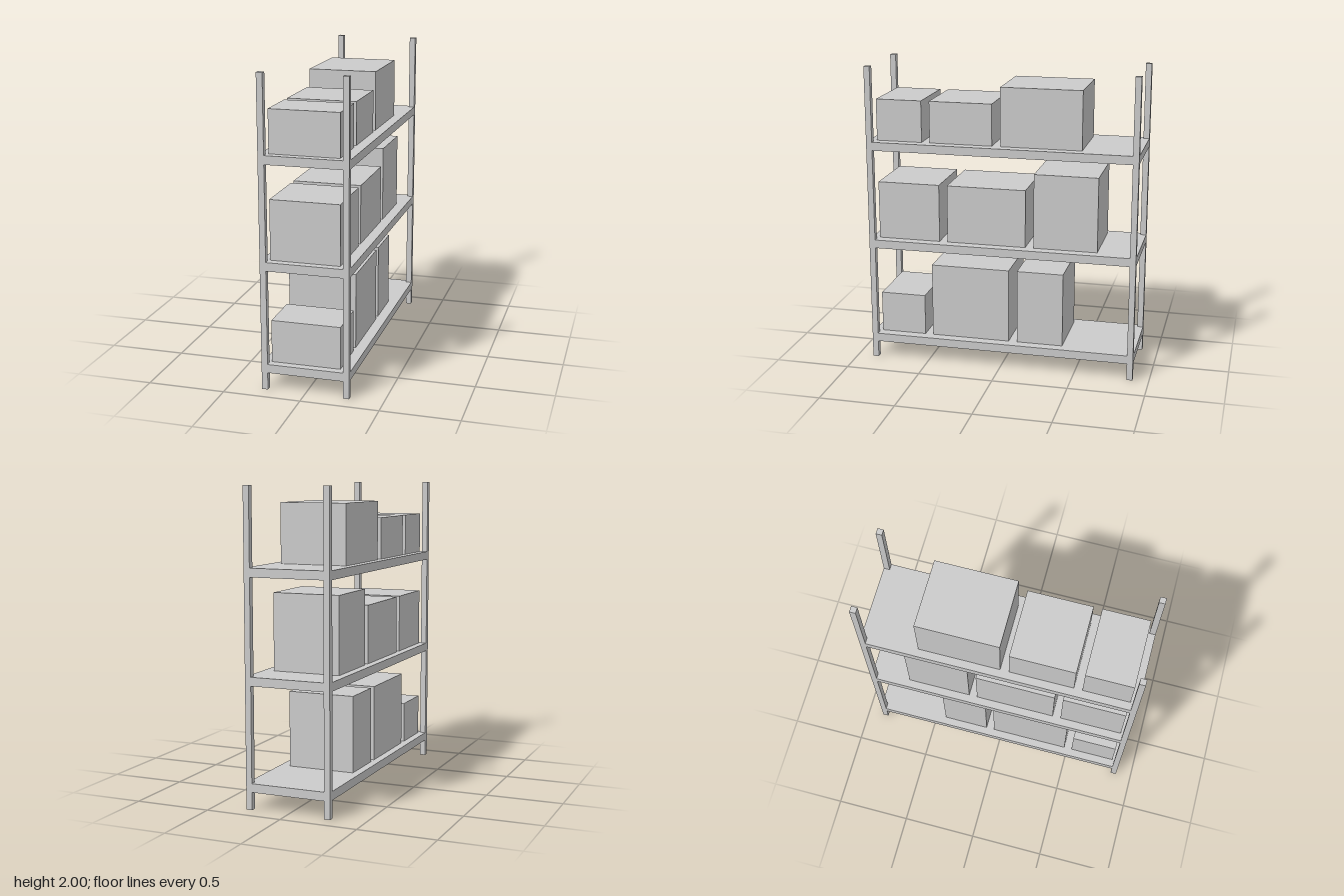
import * as THREE from 'three';

const HALF_W = 0.283, HALF_D = 0.893, POST = 0.039, RAIL = 0.056, SHEET = 0.006;

export function createModel() {
  const model = new THREE.Group();
  const material = new THREE.MeshStandardMaterial({ color: 0xcccccc });

  // Box given by its lower and upper limits on each axis
  const addBox = (parent, name, [x0, x1], [y0, y1], [z0, z1]) => {
    const mesh = new THREE.Mesh(new THREE.BoxGeometry(x1 - x0, y1 - y0, z1 - z0), material);
    mesh.position.set((x0 + x1) / 2, (y0 + y1) / 2, (z0 + z1) / 2);
    mesh.name = name;
    parent.add(mesh);
  };

  // Corner posts
  const posts = new THREE.Group();
  posts.name = 'posts';
  for (const sx of [-1, 1]) {
    for (const sz of [-1, 1]) {
      const x = sx * (HALF_W - POST / 2), z = sz * (HALF_D - POST / 2);
      const name = (sz > 0 ? 'front' : 'back') + (sx > 0 ? 'Left' : 'Right') + 'Post';
      addBox(posts, name, [x - POST / 2, x + POST / 2], [0, 2], [z - POST / 2, z + POST / 2]);
    }
  }
  model.add(posts);

  // Shelf folded from sheet: a thin panel with a rail down each edge, open below
  const addShelf = (parent, name, top) => {
    const shelf = new THREE.Group();
    shelf.name = name;
    addBox(shelf, 'panel', [-HALF_W, HALF_W], [top - SHEET, top], [-HALF_D, HALF_D]);
    const drop = [top - RAIL, top - SHEET];
    const endX = [SHEET - HALF_W, HALF_W - SHEET];
    addBox(shelf, 'rightRail', [-HALF_W, SHEET - HALF_W], drop, [-HALF_D, HALF_D]);
    addBox(shelf, 'leftRail', [HALF_W - SHEET, HALF_W], drop, [-HALF_D, HALF_D]);
    addBox(shelf, 'backRail', endX, drop, [-HALF_D, SHEET - HALF_D]);
    addBox(shelf, 'frontRail', endX, drop, [HALF_D - SHEET, HALF_D]);
    parent.add(shelf);
  };

  // Shelves, each with its cartons as [back z, front z, top y]
  const levels = [
    { name: 'bottom', top: 0.169, cartons: [[0.536, 0.841, 0.444], [-0.046, 0.482, 0.667], [-0.411, -0.102, 0.667]] },
    { name: 'middle', top: 0.837, cartons: [[0.425, 0.841, 1.222], [-0.157, 0.37, 1.222], [-0.633, -0.212, 1.333]] },
    { name: 'top', top: 1.504, cartons: [[0.536, 0.841, 1.778], [0.065, 0.482, 1.778], [-0.523, 0.009, 1.889]] },
  ];
  for (const { name, top, cartons } of levels) {
    const level = new THREE.Group();
    level.name = name + 'Level';
    addShelf(level, name + 'Shelf', top);
    cartons.forEach(([z0, z1, y1], i) =>
      addBox(level, name + 'Carton' + (i + 1), [-0.232, 0.214], [top, y1], [z0, z1]));
    model.add(level);
  }
  return model;
}
